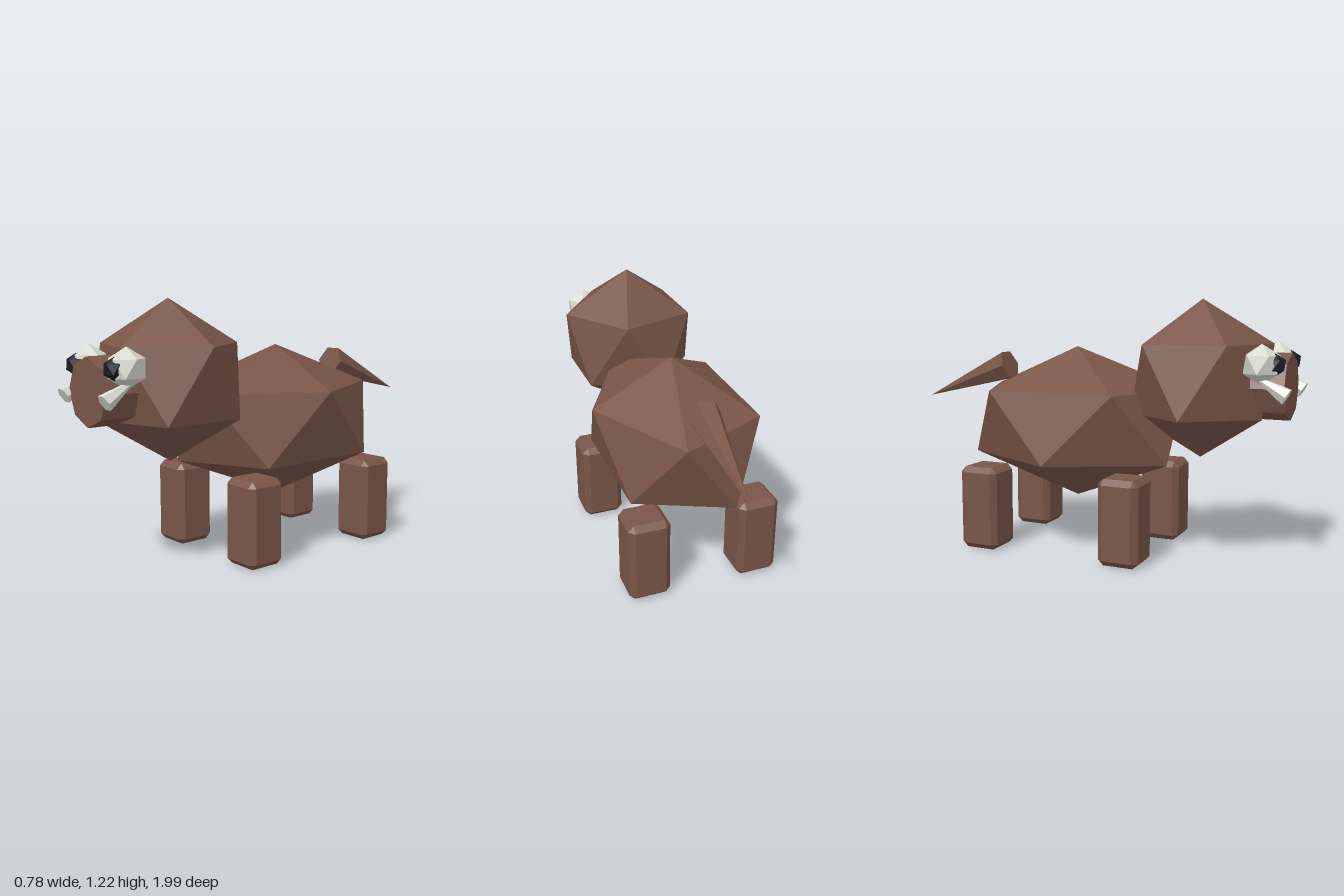
import * as THREE from 'three';
import { ConvexGeometry } from 'three/addons/geometries/ConvexGeometry.js';

const mat = (name, color) => {
  const m = new THREE.MeshStandardMaterial({ color, flatShading: true });
  m.name = name;
  return m;
};

// Icosahedron standing on one of its corners
function ico(r) {
  const t = (1 + Math.sqrt(5)) / 2;
  return new THREE.IcosahedronGeometry(r, 0).rotateZ(-Math.atan(1 / t));
}

// Box with every edge cut off at 45 degrees
function chamferedBox(w, h, d, c) {
  const points = [];
  for (const x of [-1, 1]) for (const y of [-1, 1]) for (const z of [-1, 1]) {
    for (let axis = 0; axis < 3; axis++) {
      const inset = [0, 1, 2].map((i) => (i === axis ? 0 : c));
      points.push(new THREE.Vector3(
        x * (w / 2 - inset[0]), y * (h / 2 - inset[1]), z * (d / 2 - inset[2])));
    }
  }
  return new ConvexGeometry(points);
}

// Six-sided cone running from its base centre to its tip
function spike(r, base, tip) {
  const from = new THREE.Vector3(...base);
  const dir = new THREE.Vector3(...tip).sub(from);
  const length = dir.length();
  const q = new THREE.Quaternion().setFromUnitVectors(new THREE.Vector3(0, 1, 0), dir.normalize());
  return new THREE.ConeGeometry(r, length, 6, 1, false, Math.PI / 6)
    .translate(0, length / 2, 0)
    .applyQuaternion(q)
    .translate(...base);
}

export function createModel() {
  const group = new THREE.Group();
  const brown = mat('brown hide', 0x795548);
  const white = mat('off-white', 0xd9dad0);
  const black = mat('near black', 0x1b1d26);

  const add = (name, geometry, material, x = 0, y = 0, z = 0) => {
    const mesh = new THREE.Mesh(geometry, material);
    mesh.name = name;
    mesh.position.set(x, y, z);
    group.add(mesh);
    return mesh;
  };

  // Body, head and snout
  add('body', ico(1).scale(0.436, 0.375, 0.612), brown, 0, 0.613, -0.1);
  add('head', ico(0.37), brown, 0, 0.85, 0.545);
  add('snout', new THREE.CylinderGeometry(0.152, 0.152, 0.25, 8).rotateX(Math.PI / 2),
    brown, 0, 0.828, 0.84);

  // Tail
  add('tail', spike(0.08, [0, 0.885, -0.491], [0, 0.705, -0.99]), brown);

  for (const [side, s] of [['left', 1], ['right', -1]]) {
    // Legs
    add(side + 'FrontLeg', chamferedBox(0.2, 0.407, 0.2, 0.027), brown, s * 0.27, 0.2035, 0.27);
    add(side + 'BackLeg', chamferedBox(0.2, 0.407, 0.2, 0.027), brown, s * 0.27, 0.2035, -0.47);

    // Eyes and tusks
    add(side + 'Eye', ico(0.09), white, s * 0.155, 0.935, 0.865);
    add(side + 'Pupil', ico(0.05), black, s * 0.155, 0.935, 0.925);
    add(side + 'Tusk', spike(0.04, [s * 0.17, 0.8, 0.983], [s * 0.17, 0.9, 0.811]), white);
  }
  return group;
}
